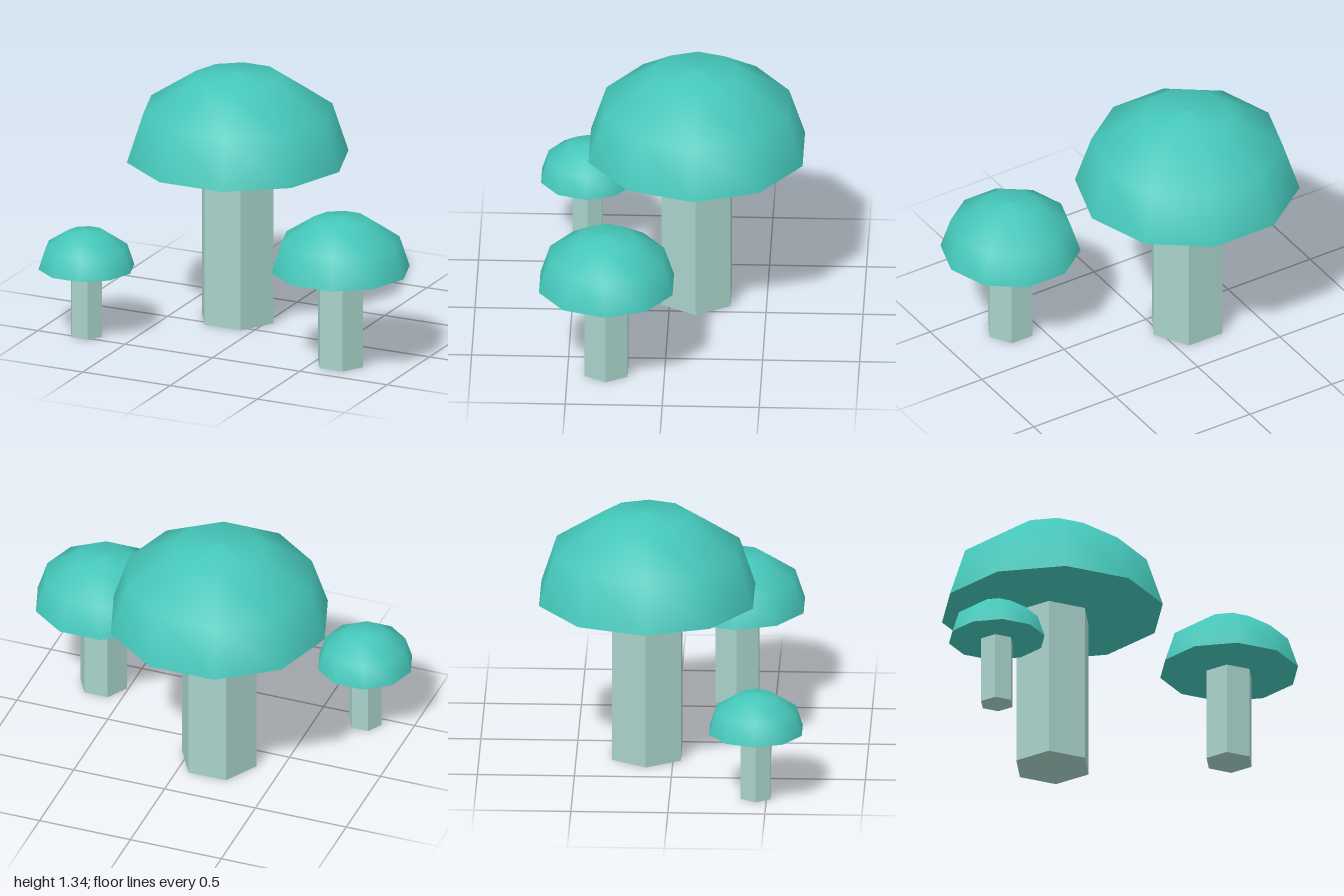
import * as THREE from 'three';

const capMat = new THREE.MeshStandardMaterial({ color: 0x45c6b9 });
capMat.name = 'teal cap';
const stemMat = new THREE.MeshStandardMaterial({ color: 0xa8d2ca });
stemMat.name = 'pale stem';

// Cap profiles measured from the rim height: [radius, height]
const DOME = [[0.58, 0], [0.495, 0.26], [0.235, 0.433], [0, 0.462]];
const UNDERSIDE = [[0, -0.028], [0.235, -0.025], [0.58, 0]];

// Ten-sided lathe with a corner on the x axis
function lathe(profile, scale) {
  const points = profile.map(([r, y]) => new THREE.Vector2(r * scale, y * scale));
  return new THREE.LatheGeometry(points, 10, Math.PI / 2);
}

function part(name, geometry, material, y) {
  const mesh = new THREE.Mesh(geometry, material);
  mesh.name = name;
  mesh.position.y = y;
  return mesh;
}

function mushroom(name, x, z, scale, rimY) {
  const group = new THREE.Group();
  group.name = name;
  group.position.set(x, 0, z);

  // Six-sided stem, ending just inside the cap
  const r = 0.205 * scale;
  const stem = new THREE.CylinderGeometry(r, r, rimY, 6, 1, false, Math.PI / 2).toNonIndexed();
  stem.computeVertexNormals();
  group.add(part('stem', stem, stemMat, rimY / 2));

  // Smooth dome and shallow underside, with a sharp rim between them
  group.add(part('capDome', lathe(DOME, scale), capMat, rimY));
  group.add(part('capUnderside', lathe(UNDERSIDE, scale), capMat, rimY));
  return group;
}

export function createModel() {
  const model = new THREE.Group();
  model.name = 'mushroomCluster';
  model.add(
    mushroom('largeMushroom', -0.165, -0.137, 1, 0.877),
    mushroom('mediumMushroom', 0.636, 0.3, 0.624, 0.513),
    mushroom('smallMushroom', -0.749, 0.445, 0.433, 0.367)
  );
  return model;
}
